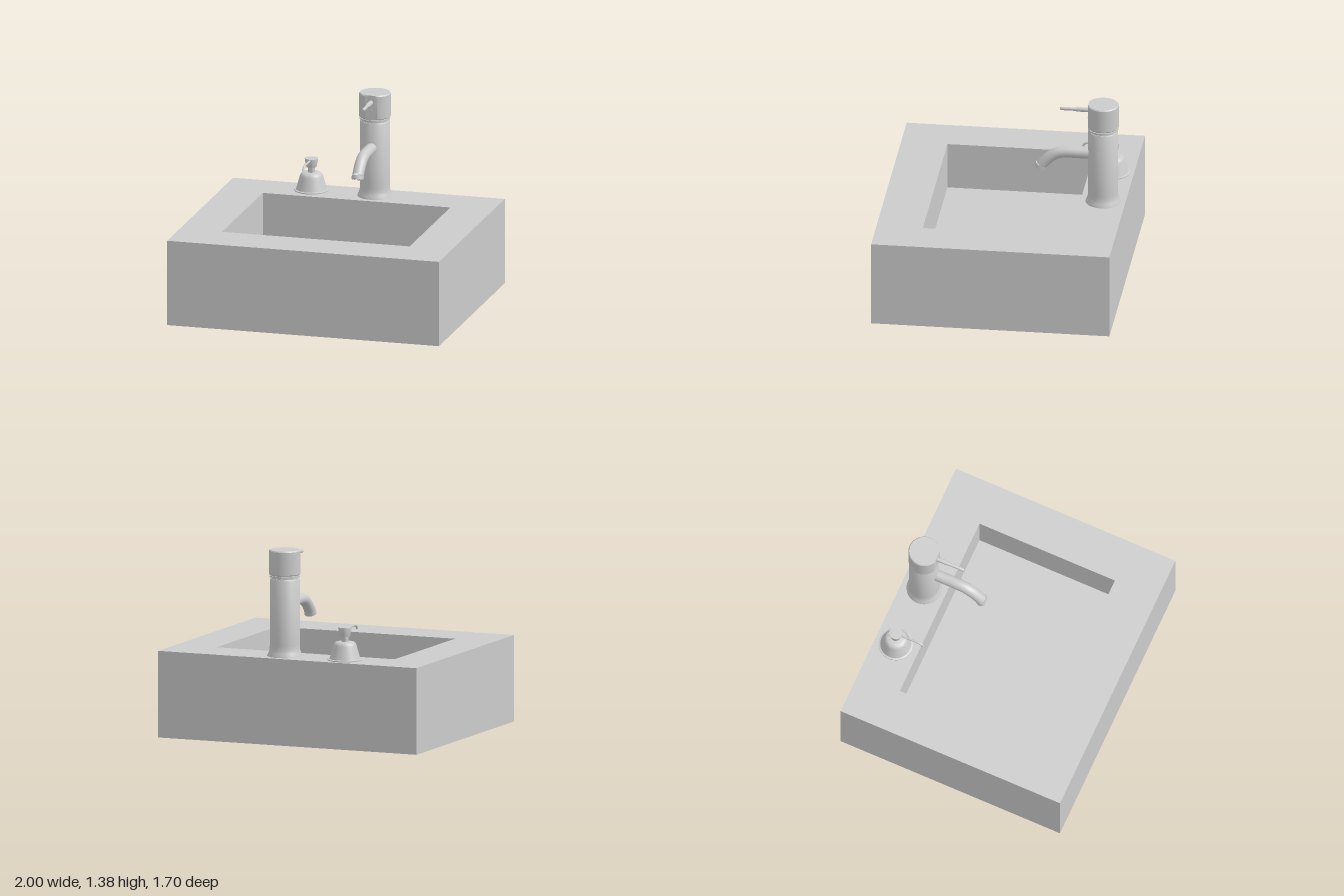
import * as THREE from 'three';
import { toCreasedNormals } from 'three/addons/utils/BufferGeometryUtils.js';

const grey = new THREE.MeshStandardMaterial({ color: 0xcccccc });
const greyDouble = new THREE.MeshStandardMaterial({ color: 0xcccccc, side: THREE.DoubleSide });

function add(parent, name, geometry, material = grey) {
  const mesh = new THREE.Mesh(geometry, material);
  mesh.name = name;
  parent.add(mesh);
  return mesh;
}

// Turned part from [radius, height] pairs, bottom to top
function turned(profile, segments = 48) {
  return new THREE.LatheGeometry(profile.map(([r, y]) => new THREE.Vector2(r, y)), segments);
}
const crease = (g) => toCreasedNormals(g, 0.6);

// Smooth path in the x = 0 plane from [y, z] pairs
const path = (pts) => new THREE.CatmullRomCurve3(pts.map(([y, z]) => new THREE.Vector3(0, y, z)));

function rectangle(target, x0, y0, x1, y1) {
  target.moveTo(x0, y0);
  target.lineTo(x1, y0);
  target.lineTo(x1, y1);
  target.lineTo(x0, y1);
  target.closePath();
  return target;
}

function createBasin() {
  const basin = new THREE.Group();
  basin.name = 'basin';
  const height = 0.62, floorY = 0.28;
  // Rim and walls: shape y becomes -z when laid flat
  const shape = rectangle(new THREE.Shape(), -1, -0.85, 1, 0.85);
  shape.holes.push(rectangle(new THREE.Path(), -0.69, -0.52, 0.69, 0.53));
  const walls = new THREE.ExtrudeGeometry(shape, { depth: height, bevelEnabled: false });
  add(basin, 'basinWalls', walls.rotateX(-Math.PI / 2));
  // Floor filling the lower part of the opening
  add(basin, 'basinFloor', new THREE.BoxGeometry(1.38, floorY, 1.05)).position.set(0, floorY / 2, -0.005);
  return basin;
}

function createFaucet() {
  const faucet = new THREE.Group();
  faucet.name = 'faucet';
  faucet.position.set(0.09, 0, -0.69);

  // Body with flared foot and a narrow neck below the head
  add(faucet, 'faucetBody', crease(turned([
    [0, 0.62], [0.125, 0.62], [0.122, 0.632], [0.114, 0.648], [0.108, 0.668], [0.106, 0.7],
    [0.106, 1.165], [0.1, 1.175], [0.096, 1.175], [0.096, 1.185], [0.108, 1.185],
    [0.108, 1.197], [0.1, 1.197], [0.1, 1.21], [0, 1.21],
  ])));

  // Head with a flat cut on the front
  const head = turned([
    [0, 1.203], [0.108, 1.203], [0.112, 1.208], [0.112, 1.372], [0.106, 1.38], [0, 1.38],
  ], 64);
  const p = head.attributes.position;
  for (let i = 0; i < p.count; i++) p.setZ(i, Math.min(p.getZ(i), 0.103));
  add(faucet, 'faucetHead', crease(head));

  // Lever: tapered socket and slim round-ended rod
  const lever = turned([
    [0, 0], [0.017, 0], [0.016, 0.1], [0.012, 0.12], [0.012, 0.216], [0.008, 0.222], [0, 0.224],
  ], 20);
  lever.rotateX(Math.PI / 2);
  add(faucet, 'lever', crease(lever)).position.set(0, 1.328, 0.085);
  const button = turned([[0, 0], [0.011, 0], [0.011, 0.008], [0, 0.01]], 16);
  add(faucet, 'indicatorButton', crease(button.rotateX(Math.PI / 2))).position.set(0, 1.268, 0.1);

  // Curved spout
  const curve = path([
    [0.99, 0.06], [0.99, 0.16], [0.989, 0.27], [0.977, 0.33], [0.947, 0.378], [0.912, 0.415], [0.882, 0.441],
  ]);
  add(faucet, 'spout', new THREE.TubeGeometry(curve, 40, 0.041, 24, false), greyDouble);

  // Hollow nozzle collar aligned with the end of the spout
  const nozzle = turned([
    [0.036, -0.002], [0.043, -0.002], [0.043, 0.026], [0.034, 0.026], [0.034, 0.008], [0, 0.008],
  ], 24);
  const mesh = add(faucet, 'nozzle', crease(nozzle), greyDouble);
  mesh.position.copy(curve.getPoint(1));
  mesh.quaternion.setFromUnitVectors(
    new THREE.Vector3(0, 1, 0), new THREE.Vector3(0, -0.92, 0.39).normalize());
  return faucet;
}

function createDispenser() {
  const dispenser = new THREE.Group();
  dispenser.name = 'soapDispenser';
  dispenser.position.set(-0.38, 0, -0.7);

  // Bell-shaped base
  add(dispenser, 'dispenserBase', crease(turned([
    [0, 0.62], [0.122, 0.62], [0.122, 0.627], [0.11, 0.63], [0.107, 0.638], [0.092, 0.692],
    [0.09, 0.697], [0.083, 0.725], [0.076, 0.74], [0.066, 0.749], [0.05, 0.753], [0, 0.753],
  ])));
  // Neck and flared push knob
  add(dispenser, 'dispenserPump', crease(turned([
    [0.026, 0.745], [0.026, 0.788], [0.036, 0.79], [0.038, 0.8], [0.048, 0.848],
    [0.047, 0.854], [0, 0.855],
  ], 32)));
  // Thin hooked spout
  const curve = path([
    [0.842, 0.02], [0.844, 0.1], [0.845, 0.16], [0.841, 0.187], [0.83, 0.204], [0.815, 0.212],
  ]);
  add(dispenser, 'dispenserSpout', new THREE.TubeGeometry(curve, 28, 0.008, 12, false), greyDouble);
  return dispenser;
}

export function createModel() {
  const model = new THREE.Group();
  model.name = 'washbasin';
  model.add(createBasin(), createFaucet(), createDispenser());
  return model;
}
